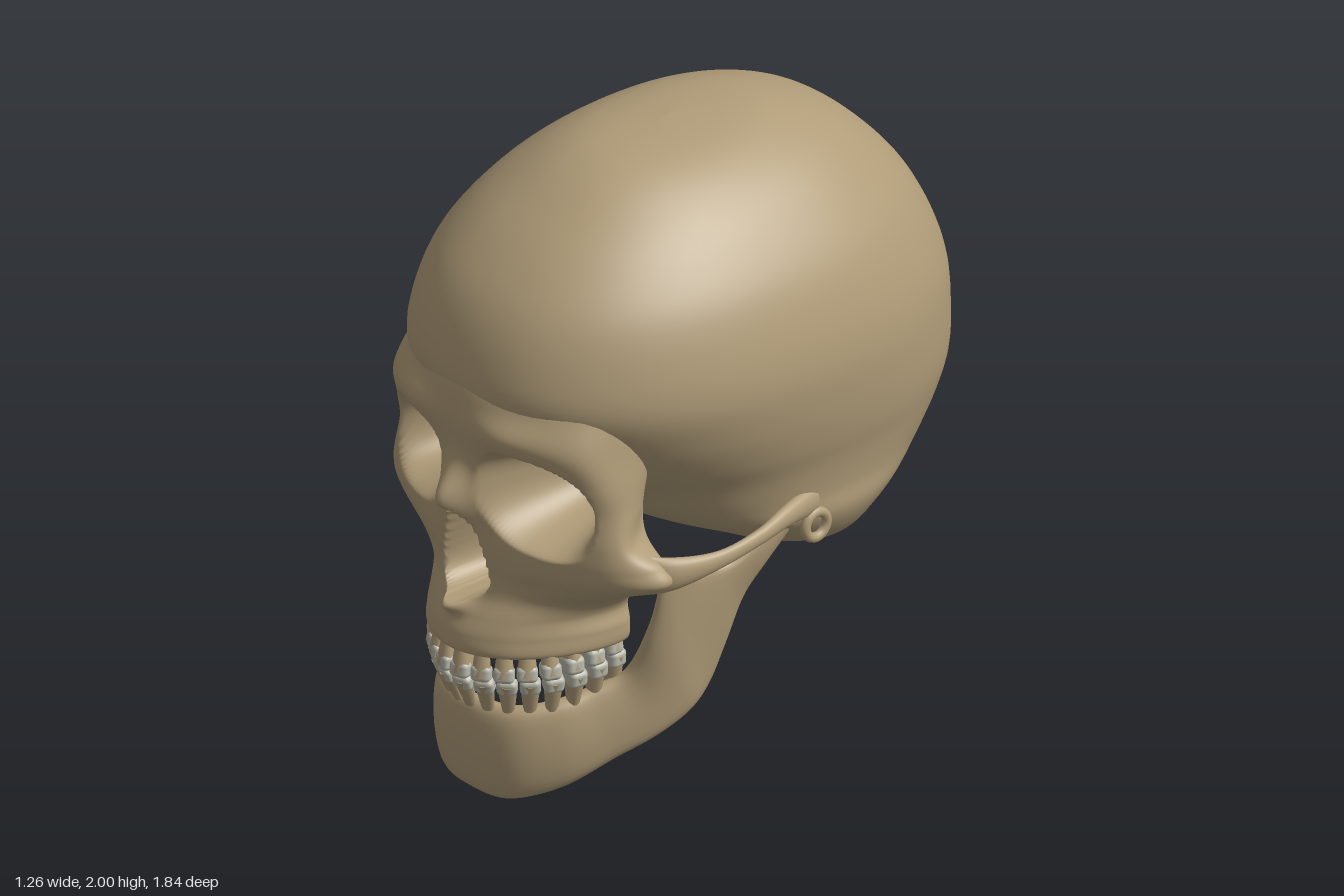
import * as THREE from 'three';
import { RoundedBoxGeometry } from 'three/addons/geometries/RoundedBoxGeometry.js';

const V = (x, y, z) => new THREE.Vector3(x, y, z);
const { smoothstep, lerp } = THREE.MathUtils;
const bell = (d, width) => Math.exp(-((d / width) ** 2));

// Smooth surface through rows of control points; warp may move each vertex.
function surface(rows, nu, nv, closed = false, warp = null) {
  const columns = rows[0].map((_, i) => new THREE.CatmullRomCurve3(rows.map(r => r[i]), false, 'catmullrom'));
  const pos = [], index = [], across = closed ? nu : nu + 1;
  for (let j = 0; j <= nv; j++) {
    const ring = new THREE.CatmullRomCurve3(columns.map(c => c.getPoint(j / nv)), closed, 'catmullrom');
    for (let i = 0; i < across; i++) {
      const p = ring.getPoint(i / nu);
      if (warp) warp(p);
      pos.push(p.x, p.y, p.z);
    }
  }
  for (let j = 0; j < nv; j++) {
    for (let i = 0; i < nu; i++) {
      const a = j * across + i, b = j * across + (i + 1) % across;
      index.push(a, a + across, b, b, a + across, b + across);
    }
  }
  const g = new THREE.BufferGeometry();
  g.setAttribute('position', new THREE.Float32BufferAttribute(pos, 3));
  g.setIndex(index);
  g.computeVertexNormals();
  return g;
}

// Braincase: horizontal rings [y, front z, back z, half width], ending in the hollow base
function craniumGeometry() {
  const rings = [
    [2.0, 0.001, -0.001, 0.001], [1.985, 0.24, -0.28, 0.14], [1.95, 0.37, -0.41, 0.25],
    [1.88, 0.5, -0.56, 0.36], [1.78, 0.64, -0.68, 0.46], [1.65, 0.76, -0.79, 0.55],
    [1.5, 0.825, -0.87, 0.605], [1.36, 0.835, -0.915, 0.628], [1.22, 0.74, -0.925, 0.62],
    [1.1, 0.62, -0.92, 0.6], [1.0, 0.5, -0.88, 0.575], [0.9, 0.4, -0.8, 0.56],
    [0.82, 0.28, -0.69, 0.56], [0.75, 0.14, -0.58, 0.53], [0.69, 0.02, -0.5, 0.48],
    [0.66, -0.1, -0.42, 0.41], [0.7, -0.14, -0.4, 0.3], [0.78, -0.2, -0.32, 0.1], [0.79, -0.25, -0.26, 0.005]];
  const soft = v => Math.sign(v) * Math.abs(v) ** 0.9;
  const rows = rings.map(([y, front, back, half]) => Array.from({ length: 24 }, (_, i) => {
    const a = i / 24 * Math.PI * 2;
    return V(half * soft(Math.sin(a)), y, (front + back) / 2 + (front - back) / 2 * soft(Math.cos(a)));
  }));
  return surface(rows, 96, 110, true);
}

// Brow, nose, cheeks and upper jaw, with the hollows pressed in
function faceGeometry() {
  // y, centre z, then x and z of the mid, rim and back lines
  const lines = [
    [1.45, 0.825, 0.22, 0.765, 0.38, 0.63, 0.44, 0.46], [1.36, 0.85, 0.22, 0.8, 0.4, 0.67, 0.43, 0.46],
    [1.26, 0.855, 0.22, 0.825, 0.42, 0.705, 0.43, 0.46], [1.15, 0.835, 0.2, 0.8, 0.445, 0.675, 0.43, 0.47],
    [1.05, 0.82, 0.2, 0.79, 0.455, 0.655, 0.44, 0.5], [0.95, 0.82, 0.2, 0.78, 0.47, 0.66, 0.47, 0.54],
    [0.88, 0.82, 0.22, 0.775, 0.49, 0.65, 0.54, 0.5], [0.82, 0.815, 0.22, 0.77, 0.49, 0.635, 0.56, 0.49],
    [0.76, 0.815, 0.2, 0.76, 0.42, 0.62, 0.43, 0.5], [0.7, 0.82, 0.18, 0.765, 0.33, 0.6, 0.35, 0.45],
    [0.64, 0.85, 0.17, 0.79, 0.285, 0.62, 0.31, 0.44], [0.58, 0.875, 0.17, 0.805, 0.295, 0.62, 0.32, 0.44],
    [0.52, 0.87, 0.17, 0.8, 0.29, 0.62, 0.31, 0.44], [0.53, 0.79, 0.13, 0.73, 0.22, 0.58, 0.24, 0.44],
    [0.61, 0.7, 0.1, 0.66, 0.17, 0.56, 0.18, 0.44], [0.63, 0.6, 0.03, 0.58, 0.05, 0.52, 0.05, 0.44]];
  const rows = lines.map(([y, c, mx, mz, rx, rz, bx, bz]) => {
    const half = [V(mx, y, mz), V(rx, y, rz), V(bx, y, bz), V(bx * 0.55, y, y > 0.92 ? 0.33 : 0.43)];
    const other = half.map(p => V(-p.x, p.y, p.z)).reverse();
    return [...other, V(0, y, c), ...half];
  });
  return surface(rows, 168, 210, false, p => {
    if (p.z < 0.55) return;
    const { x, y } = p, ax = Math.abs(x), s = Math.sign(x);
    // nasal bones, nasal spine and brow swellings
    p.z += 0.1 * bell(x, 0.06) * bell(y - 1.03, 0.09) + 0.06 * bell(x, 0.04) * bell(y - 0.67, 0.03);
    p.z += 0.02 * bell(ax - 0.2, 0.12) * bell(y - 1.29, 0.05);
    // eye sockets, drooping a little to the outside and narrowing inward
    const ex = (ax - 0.255) / 0.18, ey = (y - 1.06 + 0.15 * (ax - 0.255)) / 0.172;
    const r = (Math.abs(ex) ** 2.5 + Math.abs(ey) ** 2.5) ** 0.4;
    const d = smoothstep(1 - r, 0, 0.4);
    p.z = lerp(p.z, 0.46, d);
    p.x = s * lerp(ax, 0.21, 0.3 * d);
    p.y = lerp(y, 1.06, 0.25 * d);
    // pear-shaped nasal opening
    const t = (1.01 - y) / 0.33;
    if (t > 0 && t < 1) {
      const w = 0.122 * t ** 0.6 * Math.sqrt(1 - t ** 8);
      p.z = lerp(p.z, 0.6, smoothstep(1 - ax / w, 0, 0.3));
    }
  });
}

// Lower jaw: top edge xyz, bottom edge xyz and half thickness, from chin to joint
function mandibleGeometry() {
  const half = [
    [0, 0.33, 0.78, 0, 0.005, 0.76, 0.05], [0.14, 0.33, 0.745, 0.13, 0.012, 0.735, 0.05],
    [0.225, 0.35, 0.65, 0.24, 0.06, 0.63, 0.046], [0.275, 0.38, 0.54, 0.32, 0.14, 0.5, 0.042],
    [0.33, 0.43, 0.46, 0.38, 0.2, 0.39, 0.038], [0.4, 0.6, 0.43, 0.415, 0.26, 0.29, 0.03],
    [0.44, 0.81, 0.39, 0.425, 0.33, 0.22, 0.024], [0.455, 0.75, 0.27, 0.44, 0.46, 0.165, 0.022],
    [0.47, 0.74, 0.17, 0.455, 0.6, 0.11, 0.022], [0.49, 0.8, 0.07, 0.48, 0.7, 0.05, 0.028],
    [0.505, 0.87, 0, 0.5, 0.79, -0.02, 0.03]];
  const stations = [...half.slice(1).reverse().map(([a, b, c, d, e, f, t]) => [-a, b, c, -d, e, f, t]), ...half]
    .map(([a, b, c, d, e, f, t]) => ({ top: V(a, b, c), bottom: V(d, e, f), t }));
  const last = stations.length - 1;
  const rows = stations.map(({ top, bottom, t }, i) => {
    const before = stations[Math.max(i - 1, 0)].bottom, after = stations[Math.min(i + 1, last)].bottom;
    const out = V(before.z - after.z, 0, after.x - before.x).normalize();
    return Array.from({ length: 12 }, (_, k) => {
      const a = k / 12 * Math.PI * 2, side = Math.sin(a);
      return bottom.clone().lerp(top, 0.5 + 0.5 * Math.cos(a))
        .addScaledVector(out, t * Math.sign(side) * Math.abs(side) ** 0.7);
    });
  });
  return surface(rows, 28, 160, true);
}

// Cheek arch: centre xyz, half height and half thickness, front to back
function archGeometry() {
  const path = [[0.47, 0.85, 0.58, 0.075, 0.03], [0.545, 0.845, 0.48, 0.055, 0.03], [0.59, 0.855, 0.33, 0.03, 0.018],
    [0.59, 0.872, 0.17, 0.026, 0.018], [0.565, 0.885, 0.04, 0.035, 0.025], [0.53, 0.88, -0.1, 0.05, 0.03]];
  const rows = path.map(([x, y, z, h, t]) => Array.from({ length: 10 }, (_, k) => {
    const a = k / 10 * Math.PI * 2;
    return V(x + t * Math.cos(a), y + h * Math.sin(a), z);
  }));
  return surface(rows, 20, 40, true);
}

export function createModel() {
  const bone = new THREE.MeshStandardMaterial({ color: 0xb09c78, side: THREE.DoubleSide });
  bone.name = 'bone';
  const enamel = new THREE.MeshStandardMaterial({ color: 0xb8b8aa });
  enamel.name = 'enamel';
  const model = new THREE.Group();
  model.name = 'skull';
  const add = (name, geometry, material = bone, parent = model) => {
    const mesh = new THREE.Mesh(geometry, material);
    mesh.name = name;
    parent.add(mesh);
    return mesh;
  };

  add('cranium', craniumGeometry());
  add('face', faceGeometry());
  add('mandible', mandibleGeometry());

  // Paired parts
  const arch = archGeometry(), ball = new THREE.SphereGeometry(1, 20, 14);
  const earRing = new THREE.TorusGeometry(0.042, 0.016, 10, 24);
  for (const s of [1, -1]) {
    const side = s > 0 ? 'left' : 'right';
    add(side + 'CheekArch', arch).scale.x = s;
    const joint = add(side + 'JawJoint', ball);
    joint.position.set(s * 0.505, 0.85, 0);
    joint.scale.set(0.055, 0.038, 0.035);
    const ear = add(side + 'EarOpening', earRing);
    ear.position.set(s * 0.555, 0.805, -0.09);
    ear.rotation.y = Math.PI / 2;
    const concha = add(side + 'NasalConcha', ball);
    concha.position.set(s * 0.045, 0.76, 0.63);
    concha.scale.set(0.03, 0.035, 0.06);
  }

  // Teeth along the dental arch: tapered bone root and enamel crown
  const dental = new THREE.CatmullRomCurve3([[-0.28, 0.45], [-0.275, 0.57], [-0.235, 0.7], [-0.13, 0.81], [0, 0.86],
    [0.13, 0.81], [0.235, 0.7], [0.275, 0.57], [0.28, 0.45]].map(([x, z]) => V(x, 0, z)));
  const root = new THREE.CylinderGeometry(0.5, 0.3, 1, 12);
  const crown = new RoundedBoxGeometry(1, 1, 1, 3, 0.3);
  const count = 16;
  for (const jaw of ['upper', 'lower']) {
    const up = jaw === 'upper', s = up ? -1 : 1;
    const row = new THREE.Group();
    row.name = jaw + 'Teeth';
    model.add(row);
    for (let i = 0; i < count; i++) {
      const u = (i + 0.5) / count, p = dental.getPointAt(u), t = dental.getTangentAt(u);
      const k = Math.abs(u - 0.5) * 2, molar = smoothstep(k, 0.4, 0.75);
      const tooth = new THREE.Group();
      tooth.name = jaw + 'Tooth';
      tooth.position.set(p.x, (up ? 0.455 : 0.41) + 0.055 * k * k, p.z - (up ? 0 : 0.012));
      tooth.rotation.set(up ? -0.1 : 0.4 * (1 - k), Math.atan2(-t.z, t.x), 0, 'YXZ');
      row.add(tooth);
      const depth = lerp(0.042, 0.078, molar);
      const tip = add('crown', crown, enamel, tooth);
      tip.scale.set(0.063, lerp(0.052, 0.06, molar), depth);
      const stem = add('root', root, bone, tooth);
      stem.position.y = -s * 0.045;
      stem.scale.set(0.064, s * 0.11, depth + 0.006);
      // keep the mirrored root's faces turned outward
      if (up) { stem.scale.y = 0.11; stem.rotation.x = Math.PI; }
    }
  }
  return model;
}
